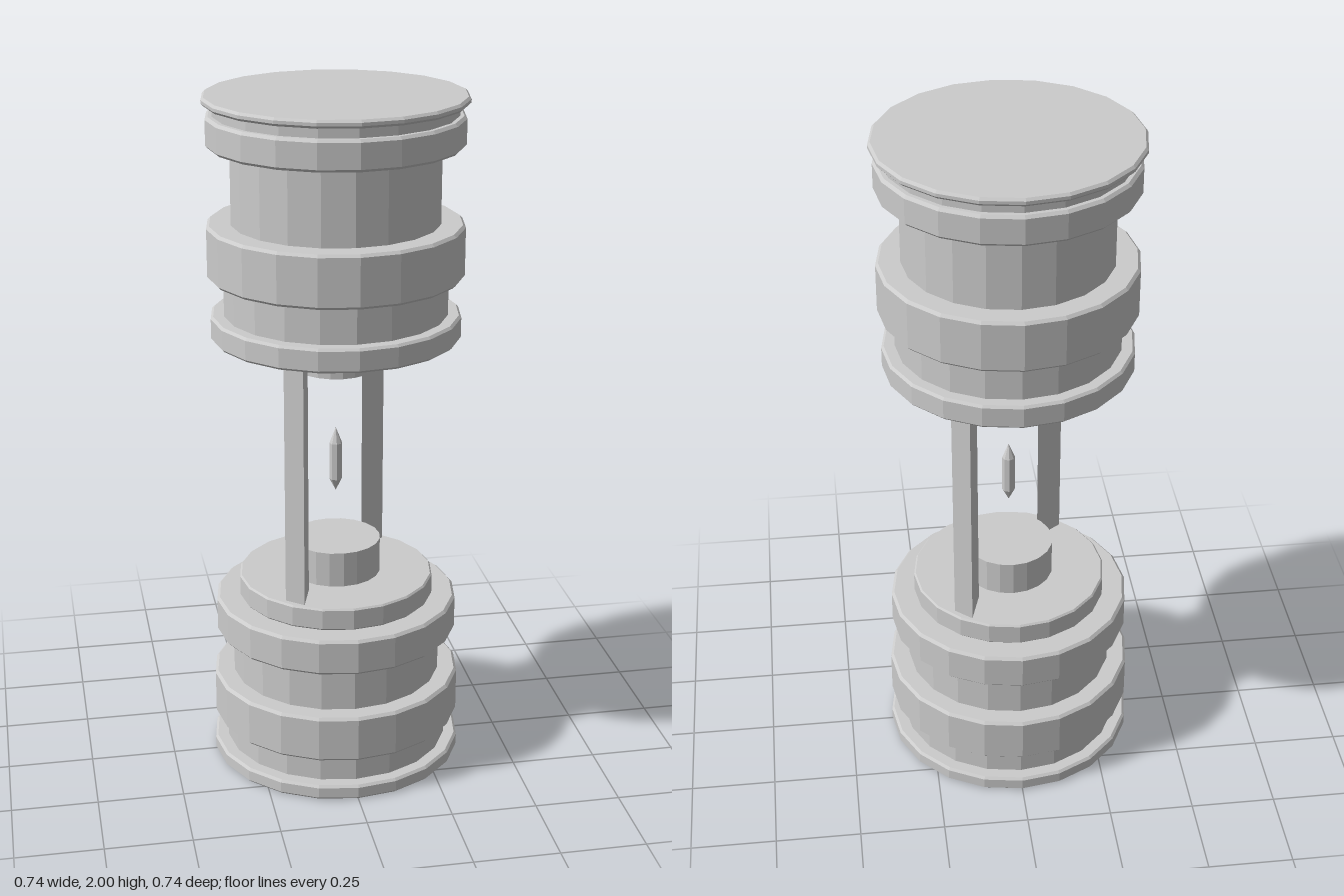
import * as THREE from 'three';

const SIDES = 20;

export function createModel() {
  const model = new THREE.Group();
  model.name = 'lantern';
  const grey = new THREE.MeshStandardMaterial({ color: 0xcccccc, flatShading: true });

  // Closed faceted disc between two heights, with chamfered rims
  function disc(name, radius, y0, y1, bevel = 0) {
    const p = [[0, y0], [radius - bevel, y0]];
    if (bevel) p.push([radius, y0 + bevel], [radius, y1 - bevel]);
    p.push([radius - bevel, y1], [0, y1]);
    const geo = new THREE.LatheGeometry(p.map(([r, y]) => new THREE.Vector2(r, y)), SIDES);
    const mesh = new THREE.Mesh(geo, grey);
    mesh.name = name;
    model.add(mesh);
  }

  // Lower body, bottom to top
  disc('basePlate', 0.372, 0, 0.045, 0.007);
  disc('baseNeck', 0.332, 0.045, 0.125);
  disc('lowerRing', 0.368, 0.125, 0.265, 0.008);
  disc('lowerBarrel', 0.31, 0.265, 0.4);
  disc('lowerCollar', 0.358, 0.4, 0.508, 0.008);
  disc('lowerStep', 0.288, 0.508, 0.575, 0.005);
  disc('pedestal', 0.132, 0.575, 0.68);

  // Upper body, bottom to top
  disc('hangingPlug', 0.116, 1.212, 1.31);
  disc('upperCollar', 0.358, 1.31, 1.38, 0.007);
  disc('upperNeck', 0.32, 1.38, 1.49);
  disc('upperRing', 0.365, 1.49, 1.642, 0.008);
  disc('upperBarrel', 0.296, 1.642, 1.86);
  disc('capRing', 0.362, 1.86, 1.947, 0.008);
  disc('capGroove', 0.342, 1.947, 1.977);
  disc('capPlate', 0.372, 1.977, 2, 0.007);

  // Two triangular posts, opposite each other
  const section = new THREE.Shape(
    [[-0.182, 0.195], [-0.134, 0.236], [-0.105, 0.138]].map(([x, z]) => new THREE.Vector2(x, -z)));
  const postGeo = new THREE.ExtrudeGeometry(section, { depth: 0.745, bevelEnabled: false });
  postGeo.rotateX(-Math.PI / 2).translate(0, 0.57, 0);
  for (const [i, name] of ['rightPost', 'leftPost'].entries()) {
    const post = new THREE.Mesh(postGeo, grey);
    post.name = name;
    post.rotation.y = i * Math.PI;
    model.add(post);
  }

  // Floating crystal, pointed at both ends
  const outline = [[0, 0.828], [0.019, 0.865], [0.019, 0.977], [0, 1.025]];
  const crystal = new THREE.Mesh(
    new THREE.LatheGeometry(outline.map(([r, y]) => new THREE.Vector2(r, y)), 8), grey);
  crystal.name = 'crystal';
  model.add(crystal);

  return model;
}
